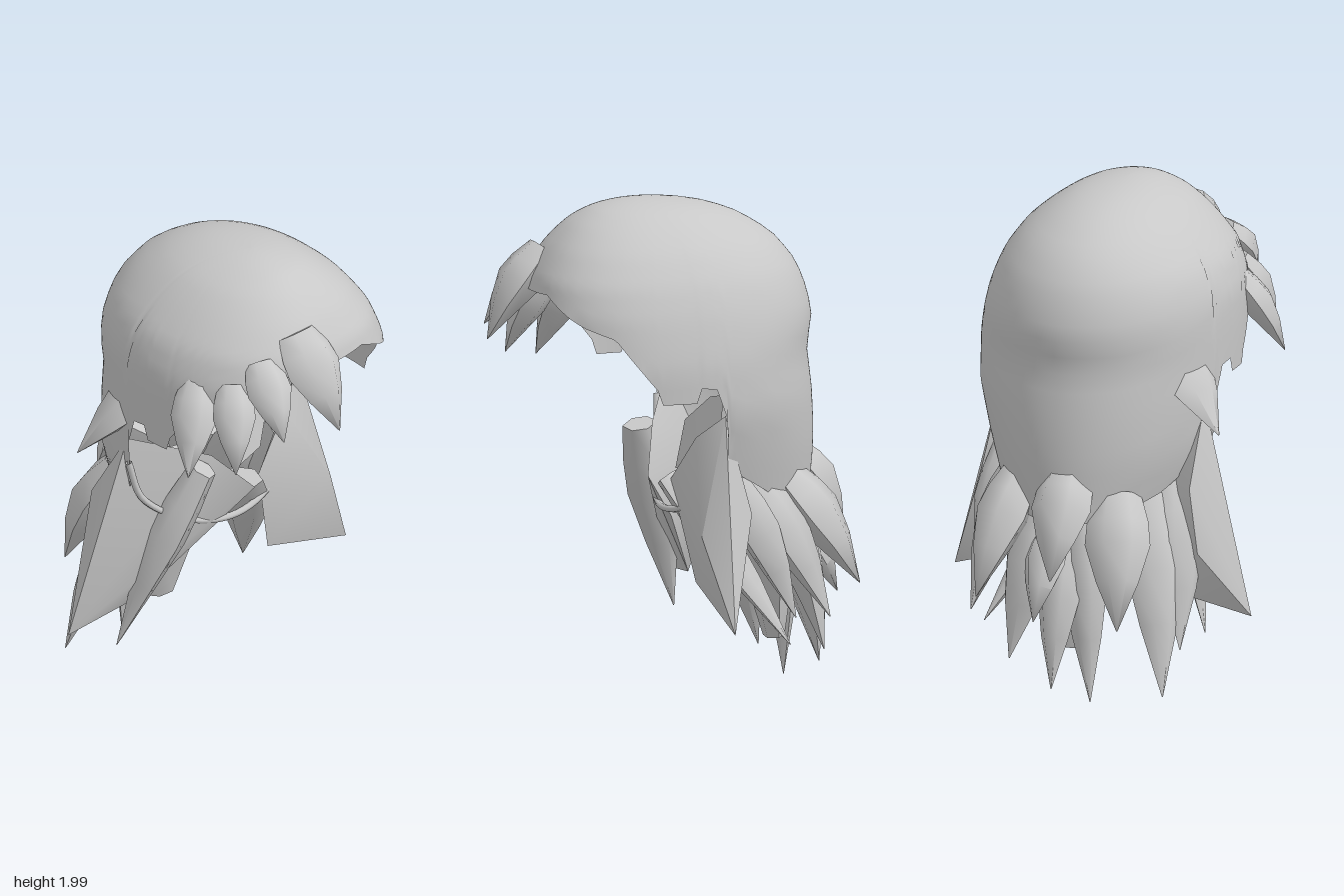
import * as THREE from 'three';
import { toCreasedNormals } from 'three/addons/utils/BufferGeometryUtils.js';
import { ConvexGeometry } from 'three/addons/geometries/ConvexGeometry.js';

const hairGrey = new THREE.MeshStandardMaterial({ color: 0xc8c8c8, side: THREE.DoubleSide });
hairGrey.name = 'hairGrey';

// Skull outline by height: y, right half width, left half width, front z, back z
const OUTLINE = [
  [2.0, 0, 0, 0.13, 0.13],
  [1.97, 0.15, 0.17, 0.32, -0.14],
  [1.92, 0.25, 0.26, 0.41, -0.28],
  [1.83, 0.35, 0.37, 0.5, -0.42],
  [1.72, 0.44, 0.45, 0.57, -0.51],
  [1.6, 0.48, 0.5, 0.6, -0.555],
  [1.5, 0.485, 0.525, 0.59, -0.57],
  [1.4, 0.485, 0.545, 0.58, -0.545],
  [1.2, 0.48, 0.545, 0.57, -0.57],
  [1.0, 0.46, 0.49, 0.55, -0.58],
  [0.7, 0.36, 0.4, 0.5, -0.56],
];

// Hairline height by angle from the front (degrees)
const HAIRLINE = [
  [0, 1.66], [18, 1.67], [45, 1.57], [61, 1.53], [78, 1.33], [79, 1.27], [90, 1.27],
  [92, 1.33], [98, 1.32], [102, 1.2], [104, 0.98], [125, 0.85], [150, 0.77], [180, 0.74],
];

function lookUp(table, key, column, keyOf = (k) => k) {
  let i = 1;
  while (i < table.length - 1 && keyOf(table[i][0]) < key) i++;
  const a = table[i - 1], b = table[i];
  const t = (key - keyOf(a[0])) / (keyOf(b[0]) - keyOf(a[0]));
  return THREE.MathUtils.lerp(a[column], b[column], THREE.MathUtils.clamp(t, 0, 1));
}

// Open shell from the crown down to the hairline, squarer at the front left
function capGeometry() {
  const columns = 180, rows = 24;
  const depth = (y) => Math.sqrt(Math.max(0, 2 - y));
  const position = [], index = [];
  for (let r = 0; r <= rows; r++) {
    for (let c = 0; c < columns; c++) {
      const deg = (c * 360) / columns - 180;
      const a = THREE.MathUtils.degToRad(deg);
      const front = Math.abs(deg) < 90;
      const d = depth(lookUp(HAIRLINE, Math.abs(deg), 1)) * (r / rows);
      const power = front ? 1 - (deg > 0 ? 0.24 : 0.08) * Math.min(1, d / 0.55) : 1;
      const sin = Math.sign(deg) * Math.abs(Math.sin(a)) ** power;
      const cos = (front ? 1 : -1) * Math.abs(Math.cos(a)) ** power;
      const cz = 0.05 + 0.08 * Math.max(0, 1 - d / 0.6) ** 2;
      const rx = lookUp(OUTLINE, d, deg < 0 ? 1 : 2, depth);
      const z = lookUp(OUTLINE, d, front ? 3 : 4, depth);
      position.push(rx * sin, 2 - d * d, cz + Math.abs(z - cz) * cos);
      if (r < rows) {
        const n = (c + 1) % columns;
        const p = r * columns + c, q = r * columns + n;
        if (r > 0) index.push(p, p + columns, q);
        index.push(q, p + columns, q + columns);
      }
    }
  }
  const g = new THREE.BufferGeometry();
  g.setAttribute('position', new THREE.Float32BufferAttribute(position, 3));
  g.setIndex(index);
  g.computeVertexNormals();
  return g;
}

// Tapered six-sided tuft from a base point to a tip
function lockGeometry(base, tip, width, thick, tipSize = 0.02) {
  const a = new THREE.Vector3(...base), b = new THREE.Vector3(...tip);
  const dir = b.clone().sub(a).normalize();
  const side = dir.clone().cross(new THREE.Vector3(b.x, 0, b.z)).normalize();
  const out = side.clone().cross(dir).normalize();
  const stations = [[0, 0.7], [0.2, 0.93], [0.38, 1], [0.65, 0.64 + 0.5 * tipSize], [1, tipSize]];
  const section = [[-0.5, 0], [-0.22, 0.5], [0.22, 0.5], [0.5, 0], [0.22, -0.5], [-0.22, -0.5]];
  const position = [...base], index = [];
  stations.forEach(([t, s], r) => {
    const mid = a.clone().lerp(b, t).addScaledVector(out, 0.12 * thick * Math.sin(Math.PI * t));
    section.forEach(([u, v], c) => {
      const p = mid.clone().addScaledVector(side, u * width * s).addScaledVector(out, v * thick * s);
      position.push(p.x, p.y, p.z);
      const n = (c + 1) % 6, i = 1 + r * 6;
      if (r === 0) index.push(0, i + n, i + c);
      else index.push(i - 6 + c, i - 6 + n, i + c, i - 6 + n, i + n, i + c);
    });
  });
  const end = position.length / 3;
  position.push(...tip);
  for (let c = 0; c < 6; c++) index.push(end - 6 + c, end - 6 + ((c + 1) % 6), end);
  const g = new THREE.BufferGeometry();
  g.setAttribute('position', new THREE.Float32BufferAttribute(position, 3));
  g.setIndex(index);
  return toCreasedNormals(g, 1.2);
}

const vectors = (points) => points.map((p) => new THREE.Vector3(...p));

// Broad panel spanning a handful of corners
function panelGeometry(corners) {
  return toCreasedNormals(new ConvexGeometry(vectors(corners)), 0.8);
}

export function createModel() {
  const model = new THREE.Group();
  model.name = 'hair';
  const add = (name, geometry, parent = model) => {
    const mesh = new THREE.Mesh(geometry, hairGrey);
    mesh.name = name;
    parent.add(mesh);
  };
  const addLocks = (name, list) => {
    const group = new THREE.Group();
    group.name = name;
    list.forEach((args, i) => add(name + (i + 1), lockGeometry(...args), group));
    model.add(group);
  };

  add('cap', capGeometry());

  // Thin band closing the neck opening under the chin
  const neckCurve = new THREE.CatmullRomCurve3(vectors([
    [-0.46, 1.1, -0.09], [-0.4, 0.92, -0.07], [-0.2, 0.78, 0], [0, 0.745, 0.03],
    [0.2, 0.78, 0], [0.4, 0.92, -0.07],
  ]));
  add('neckBand', new THREE.TubeGeometry(neckCurve, 32, 0.014, 6));

  // Fringe swept to the right side
  addLocks('fringeLock', [
    [[-0.09, 1.8, 0.49], [-0.07, 1.45, 0.73], 0.24, 0.16],
    [[-0.25, 1.71, 0.46], [-0.31, 1.46, 0.67], 0.18, 0.13],
    [[-0.34, 1.62, 0.4], [-0.45, 1.31, 0.54], 0.17, 0.12],
    [[-0.4, 1.6, 0.26], [-0.56, 1.27, 0.38], 0.19, 0.12],
    [[-0.22, 1.46, -0.1], [-0.57, 1.11, -0.27], 0.3, 0.14],
  ]);

  // Locks hanging from the nape
  addLocks('backLock', [
    [[-0.02, 0.96, -0.48], [-0.05, 0.57, -0.74], 0.25, 0.18],
    [[0.22, 0.9, -0.4], [0.29, 0.45, -0.7], 0.26, 0.18],
    [[0.05, 0.7, -0.48], [0.05, 0.37, -0.68], 0.18, 0.14],
    [[-0.2, 0.86, -0.42], [-0.3, 0.37, -0.65], 0.26, 0.18],
    [[0.28, 0.9, -0.26], [0.38, 0.34, -0.55], 0.24, 0.16],
    [[-0.26, 0.82, -0.26], [-0.43, 0.07, -0.5], 0.24, 0.16],
    [[-0.06, 0.75, -0.45], [-0.12, 0.01, -0.51], 0.18, 0.12],
    [[0.1, 0.78, -0.42], [0.2, 0.17, -0.58], 0.26, 0.16],
    [[0.01, 0.8, -0.32], [0.01, 0.2, -0.43], 0.38, 0.18, 0.4],
    [[0.4, 0.92, -0.14], [0.41, 0.35, -0.4], 0.2, 0.14],
    [[-0.34, 0.88, -0.18], [-0.46, 0.24, -0.4], 0.22, 0.14],
    [[0, 0.65, -0.48], [0, 0.08, -0.62], 0.18, 0.14],
  ]);

  // Broad side panels in front of the shoulders
  add('leftSidePanel', panelGeometry([
    [0.44, 1.19, -0.1], [0.67, 0.35, -0.07], [0.23, 0.48, -0.04], [0.12, 0.88, 0.03],
    [0.5, 0.8, -0.19], [0.51, 0.72, 0.02], [0.3, 1.08, -0.02],
  ]));
  add('rightSidePanel', panelGeometry([
    [-0.44, 1.19, -0.12], [-0.68, 0.35, -0.2], [-0.33, 0.4, -0.18], [-0.1, 0.68, -0.04],
    [0.04, 0.88, 0.1], [-0.13, 1.06, 0.03], [-0.46, 0.88, -0.31], [-0.5, 0.62, -0.32],
  ]));
  add('innerFlap', panelGeometry([
    [0.02, 0.9, -0.02], [0.05, 1.1, -0.05], [0.2, 1.22, -0.11], [0.28, 1.24, -0.14],
    [0.31, 1.12, -0.12], [0.2, 0.94, -0.05], [0.15, 1.05, -0.11],
  ]));
  addLocks('frontLock', [
    [[-0.2, 1.04, 0.06], [-0.46, 0.24, -0.16], 0.2, 0.13],
    [[0.06, 0.88, 0.02], [0.4, 0.24, -0.38], 0.2, 0.12],
  ]);

  return model;
}
